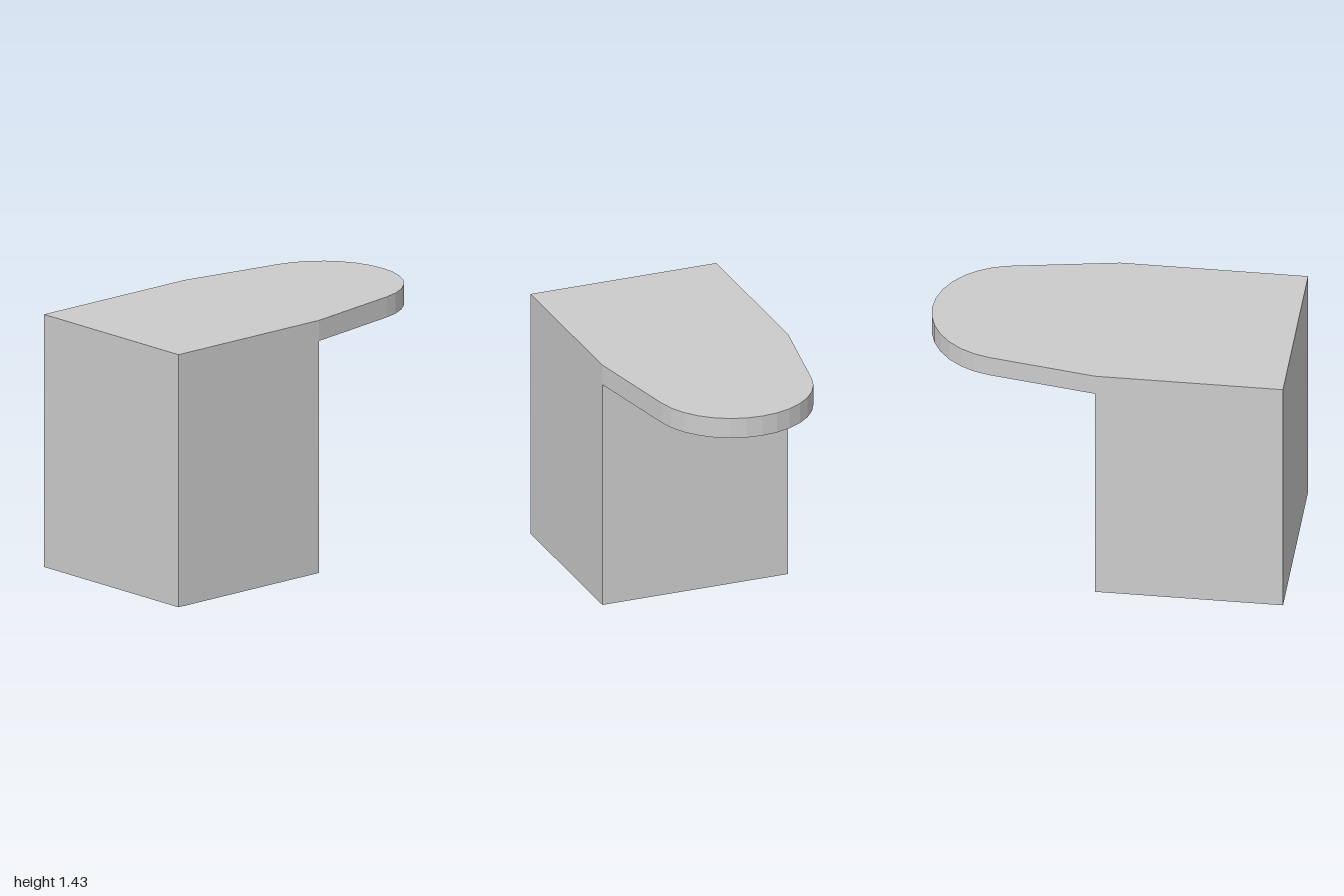
import * as THREE from 'three';

const HALF_WIDTH = 0.548, HEIGHT = 1.433, SLAB = 0.117, BACK = -0.035;

export function createModel() {
  const group = new THREE.Group();
  const grey = new THREE.MeshStandardMaterial({ color: 0xcccccc, flatShading: true });
  grey.name = 'light grey';

  // Solid block at the front
  const depth = 1 - BACK;
  const block = new THREE.Mesh(new THREE.BoxGeometry(HALF_WIDTH * 2, HEIGHT, depth), grey);
  block.name = 'block';
  block.position.set(0, HEIGHT / 2, BACK + depth / 2);
  group.add(block);

  // Tapering slab with a rounded end, drawn in plan with shape y = -z
  const radius = 0.45, centre = 0.55, taper = THREE.MathUtils.degToRad(10), steps = 14;
  const outline = new THREE.Shape();
  outline.moveTo(-HALF_WIDTH, -BACK);
  outline.lineTo(HALF_WIDTH, -BACK);
  for (let i = 0; i <= steps; i++) {
    const a = taper + (Math.PI - 2 * taper) * i / steps;
    outline.lineTo(radius * Math.cos(a), centre + radius * Math.sin(a));
  }
  outline.closePath();
  const slabGeometry = new THREE.ExtrudeGeometry(outline, { depth: SLAB, bevelEnabled: false });
  slabGeometry.rotateX(-Math.PI / 2);
  const slab = new THREE.Mesh(slabGeometry, grey);
  slab.name = 'overhangingSlab';
  slab.position.y = HEIGHT - SLAB;
  group.add(slab);

  return group;
}
